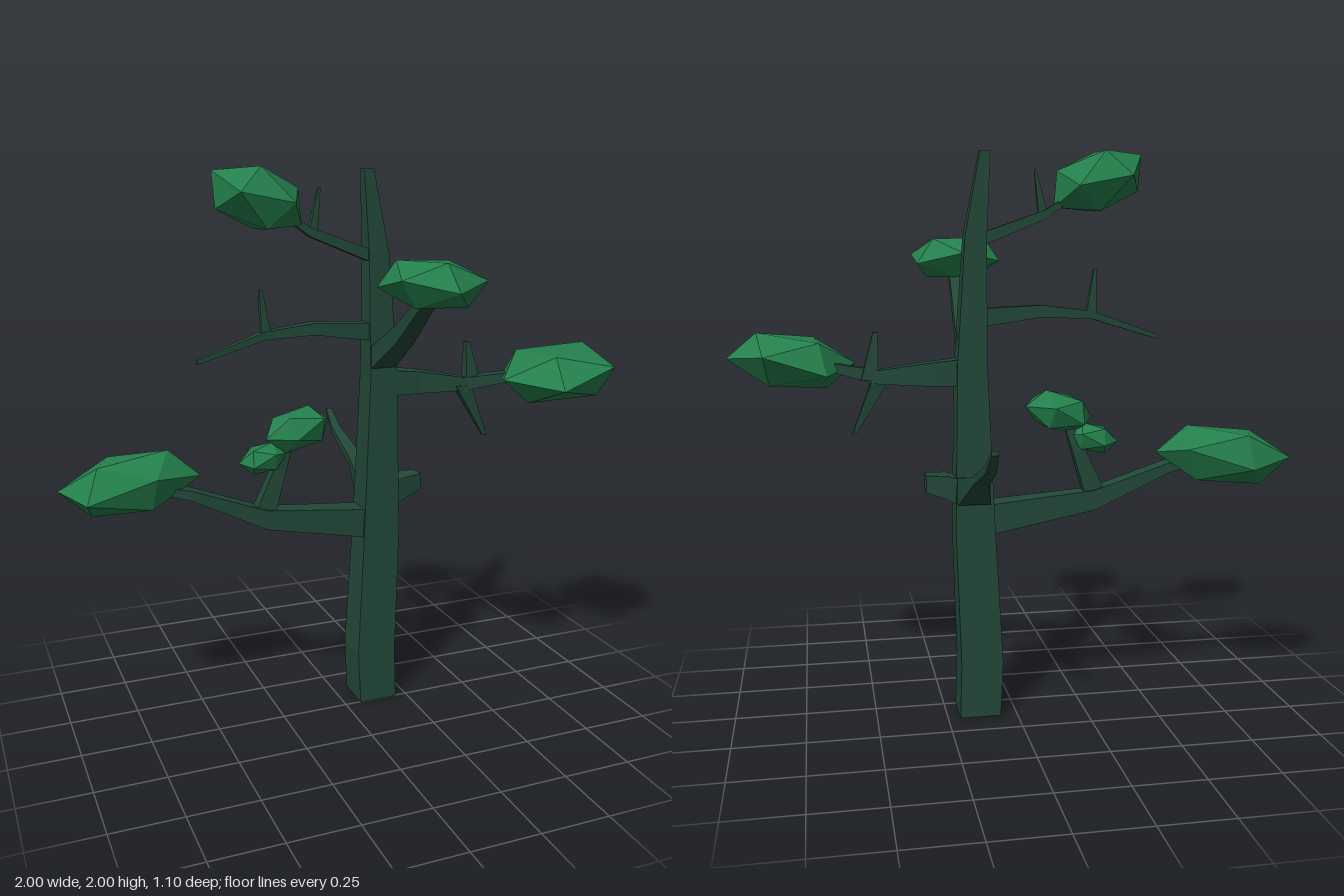
import * as THREE from 'three';

const bark = new THREE.MeshStandardMaterial({ color: 0x224838, flatShading: true });
bark.name = 'dark bark green';
const foliage = new THREE.MeshStandardMaterial({ color: 0x24804c, flatShading: true });
foliage.name = 'leaf green';

// Four-sided tapering limb; each section is [x, y, z, halfU, halfV] in the plane across the axis.
// Axis x: U = y, V = z.  Axis y: U = z, V = x.  Axis z: U = x, V = y.
function limb(name, axis, list) {
  const a = 'xyz'.indexOf(axis), u = (a + 1) % 3, v = (a + 2) % 3;
  const sections = list[list.length - 1][a] > list[0][a] ? list : [...list].reverse();
  const pos = [], index = [];
  for (const s of sections) {
    for (const [su, sv] of [[-1, -1], [1, -1], [1, 1], [-1, 1]]) {
      const p = s.slice(0, 3);
      p[u] += su * s[3];
      p[v] += sv * s[4];
      pos.push(...p);
    }
  }
  const last = (sections.length - 1) * 4;
  for (let r = 0; r < last; r += 4) {
    for (let i = 0; i < 4; i++) {
      const j = (i + 1) % 4;
      index.push(r + i, r + j, r + 4 + j, r + i, r + 4 + j, r + 4 + i);
    }
  }
  index.push(0, 2, 1, 0, 3, 2, last, last + 1, last + 2, last, last + 2, last + 3);
  const g = new THREE.BufferGeometry();
  g.setAttribute('position', new THREE.Float32BufferAttribute(pos, 3));
  g.setIndex(index);
  const flat = g.toNonIndexed();
  flat.computeVertexNormals();
  const mesh = new THREE.Mesh(flat, bark);
  mesh.name = name;
  return mesh;
}

// Faceted leaf clump, turned and tilted, then fitted to the box between min and max
function clump(name, min, max, yaw, tilt) {
  const g = new THREE.IcosahedronGeometry(1, 0);
  const box = new THREE.Box3(new THREE.Vector3(...min), new THREE.Vector3(...max));
  const size = box.getSize(new THREE.Vector3());
  g.rotateX(0.3).rotateY(yaw);
  g.scale(size.x, size.y, size.z).rotateZ(tilt);
  g.center();
  g.computeBoundingBox();
  const now = g.boundingBox.getSize(new THREE.Vector3());
  g.scale(size.x / now.x, size.y / now.y, size.z / now.z);
  g.translate(...box.getCenter(new THREE.Vector3()).toArray());
  g.computeVertexNormals();
  const mesh = new THREE.Mesh(g, foliage);
  mesh.name = name;
  return mesh;
}

export function createModel() {
  const tree = new THREE.Group();
  tree.name = 'tree';
  tree.add(
    limb('trunk', 'y', [
      [0.133, 0, -0.068, 0.073, 0.073], [0.125, 0.2, -0.066, 0.07, 0.075],
      [0.145, 0.68, -0.062, 0.06, 0.07], [0.152, 1.27, -0.06, 0.05, 0.052],
      [0.135, 1.7, -0.056, 0.034, 0.038], [0.1, 1.99, -0.055, 0.02, 0.018],
    ]),

    // Lower side branch with its leafy fork
    limb('lowerBranch', 'x', [
      [0.12, 0.712, -0.06, 0.056, 0.05], [-0.29, 0.77, -0.065, 0.036, 0.035],
      [-0.56, 0.885, -0.09, 0.018, 0.035], [-0.68, 0.91, -0.11, 0.012, 0.02],
    ]),
    limb('lowerFork', 'y', [
      [-0.3, 0.78, -0.065, 0.028, 0.04], [-0.235, 0.95, -0.065, 0.02, 0.025],
      [-0.19, 1.06, -0.06, 0.012, 0.012],
    ]),
    clump('lowerLeaves', [-1, 0.82, -0.27], [-0.51, 1.04, -0.01], 0.3, 0.12),
    clump('forkLeaves', [-0.29, 1.01, -0.14], [-0.04, 1.17, 0.03], 0.8, 0.3),
    clump('forkLeavesSmall', [-0.38, 0.935, -0.12], [-0.2, 1.05, -0.01], 0.4, 0.25),

    // Cut stub and bare rear branch
    limb('stub', 'x', [
      [0.18, 0.81, -0.062, 0.05, 0.055], [0.24, 0.835, -0.062, 0.042, 0.048],
      [0.315, 0.85, -0.062, 0.03, 0.033],
    ]),
    limb('rearBranch', 'z', [
      [0.15, 0.82, -0.08, 0.062, 0.055], [0.15, 0.825, -0.13, 0.058, 0.048],
      [0.15, 0.888, -0.27, 0.028, 0.016], [0.147, 0.965, -0.47, 0.018, 0.013],
      [0.147, 1.03, -0.55, 0.012, 0.008],
    ]),

    // Right-hand branch with two twigs
    limb('sideBranch', 'x', [
      [0.17, 1.238, -0.06, 0.048, 0.045], [0.3, 1.232, -0.05, 0.04, 0.04],
      [0.47, 1.22, -0.005, 0.024, 0.026], [0.66, 1.255, 0.08, 0.015, 0.02],
    ]),
    limb('sideTwigUp', 'y', [
      [0.5, 1.21, 0.0, 0.025, 0.03], [0.478, 1.375, 0.0, 0.01, 0.008],
    ]),
    limb('sideTwigDown', 'y', [
      [0.46, 1.215, 0.0, 0.02, 0.03], [0.555, 1.02, 0.01, 0.008, 0.008],
    ]),
    clump('sideLeaves', [0.54, 1.165, -0.06], [0.995, 1.37, 0.365], 0.6, 0.12),

    // Front branch
    limb('frontBranch', 'z', [
      [0.15, 1.32, -0.05, 0.05, 0.05], [0.15, 1.345, 0.0, 0.047, 0.04],
      [0.15, 1.44, 0.16, 0.036, 0.033], [0.15, 1.6, 0.37, 0.025, 0.018],
    ]),
    clump('frontLeaves', [-0.01, 1.56, 0.19], [0.31, 1.71, 0.545], 1.1, -0.06),

    // Bare middle branch
    limb('middleBranch', 'x', [
      [0.13, 1.425, -0.06, 0.032, 0.035], [-0.1, 1.447, -0.06, 0.021, 0.025],
      [-0.28, 1.432, -0.065, 0.014, 0.018], [-0.52, 1.353, -0.07, 0.008, 0.01],
    ]),
    limb('middleTwig', 'y', [
      [-0.275, 1.43, -0.065, 0.015, 0.018], [-0.29, 1.59, -0.065, 0.006, 0.005],
    ]),

    // Upper branch
    limb('upperBranch', 'x', [
      [0.12, 1.69, -0.056, 0.022, 0.028], [-0.11, 1.778, -0.055, 0.016, 0.02],
      [-0.22, 1.85, -0.055, 0.012, 0.012],
    ]),
    limb('upperTwig', 'y', [
      [-0.105, 1.77, -0.055, 0.014, 0.016], [-0.077, 1.93, -0.055, 0.005, 0.004],
    ]),
    clump('upperLeaves', [-0.455, 1.79, -0.18], [-0.145, 2, 0.08], 0.5, -0.5),
  );
  return tree;
}
